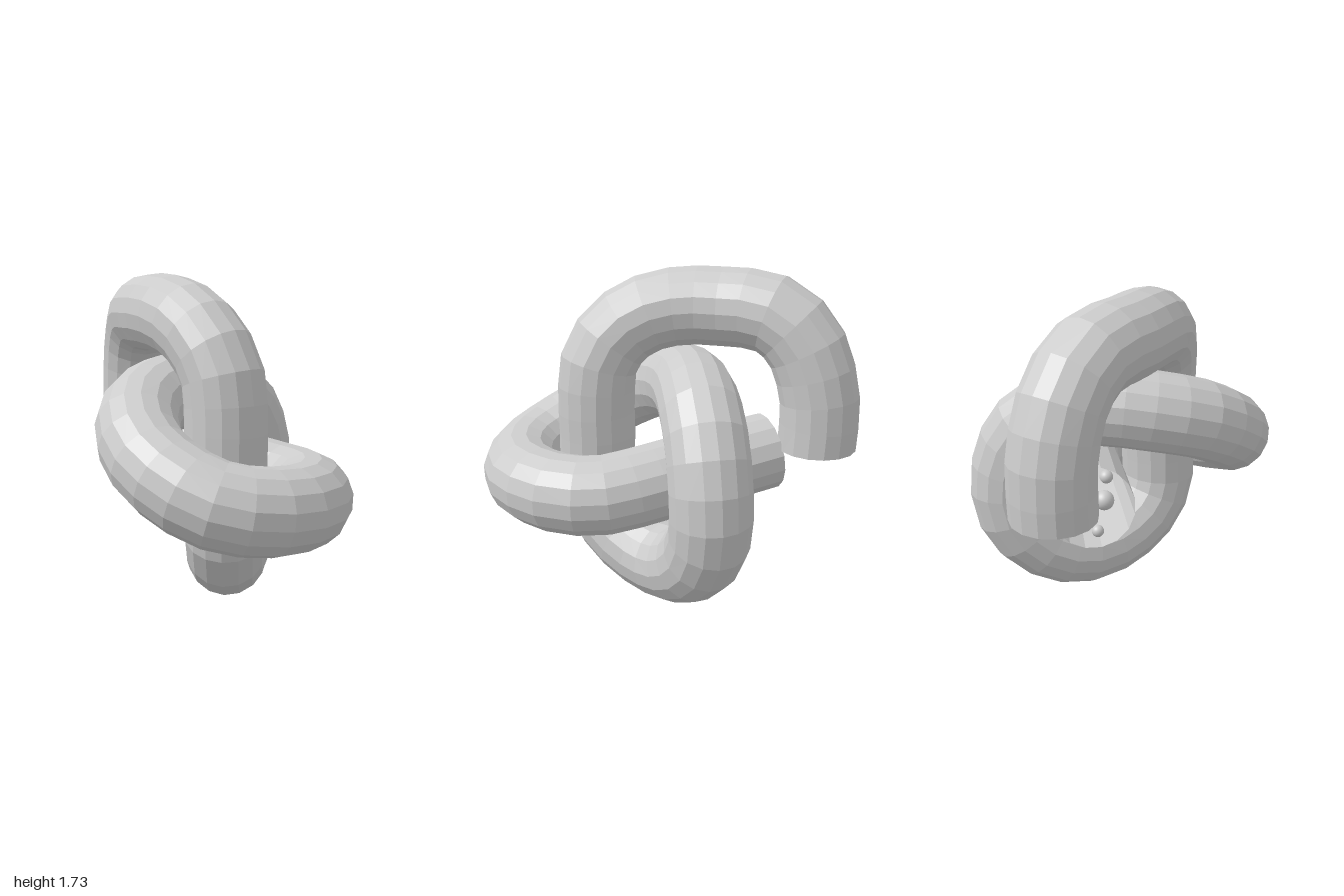
import * as THREE from 'three';

const RADIUS = 0.207;
const SIDES = 16;

// Centre line of the knotted pipe, from the hanging end to the inner open end
const PATH = [
  // hook over the top
  [-0.235, 0.82, -0.79], [-0.235, 1.1, -0.79], [-0.235, 1.36, -0.7],
  [-0.235, 1.49, -0.56], [-0.235, 1.524, -0.42], [-0.23, 1.526, -0.26],
  [-0.2, 1.524, -0.08], [-0.14, 1.49, 0.1], [-0.07, 1.39, 0.26],
  [-0.015, 1.24, 0.35], [0, 1.08, 0.37],
  // straight drop through the front ring
  [0, 0.8, 0.37], [0, 0.5, 0.37],
  // bottom bend and rear loop
  [0.025, 0.35, 0.29], [0.075, 0.25, 0.14], [0.145, 0.208, -0.05],
  [0.24, 0.25, -0.22], [0.335, 0.37, -0.35], [0.395, 0.53, -0.415],
  [0.408, 0.7, -0.42], [0.37, 0.87, -0.395], [0.28, 1.02, -0.34],
  [0.16, 1.1, -0.27], [0.03, 1.124, -0.2], [-0.12, 1.12, -0.11],
  // front ring
  [-0.27, 1.09, 0.01], [-0.38, 1.04, 0.16], [-0.43, 0.95, 0.34],
  [-0.4, 0.85, 0.51], [-0.3, 0.76, 0.66], [-0.16, 0.69, 0.76],
  [0, 0.655, 0.793], [0.16, 0.64, 0.76], [0.3, 0.635, 0.67],
  [0.39, 0.635, 0.53], [0.428, 0.635, 0.35], [0.38, 0.64, 0.17],
  // straight run back to the open end
  [0.26, 0.665, 0.01], [0.01, 0.71, -0.25], [-0.245, 0.755, -0.52],
];

// Small balls resting inside the open end: x, y, z, radius
const BALLS = [
  [-0.25, 0.62, -0.49, 0.03],
  [-0.2, 0.725, -0.375, 0.05],
  [-0.1, 0.77, -0.23, 0.035],
];

export function createModel() {
  const model = new THREE.Group();
  model.name = 'knottedPipe';

  const curve = new THREE.CatmullRomCurve3(PATH.map((p) => new THREE.Vector3(...p)), false, 'centripetal');
  const pipe = new THREE.Mesh(
    new THREE.TubeGeometry(curve, 60, RADIUS, SIDES, false),
    new THREE.MeshStandardMaterial({ color: 0xcccccc, flatShading: true, side: THREE.DoubleSide }),
  );
  pipe.name = 'pipe';
  model.add(pipe);

  const ballMaterial = new THREE.MeshStandardMaterial({ color: 0xcccccc });
  BALLS.forEach(([x, y, z, r], i) => {
    const ball = new THREE.Mesh(new THREE.SphereGeometry(r, 24, 16), ballMaterial);
    ball.name = `ball${i + 1}`;
    ball.position.set(x, y, z);
    model.add(ball);
  });

  return model;
}
